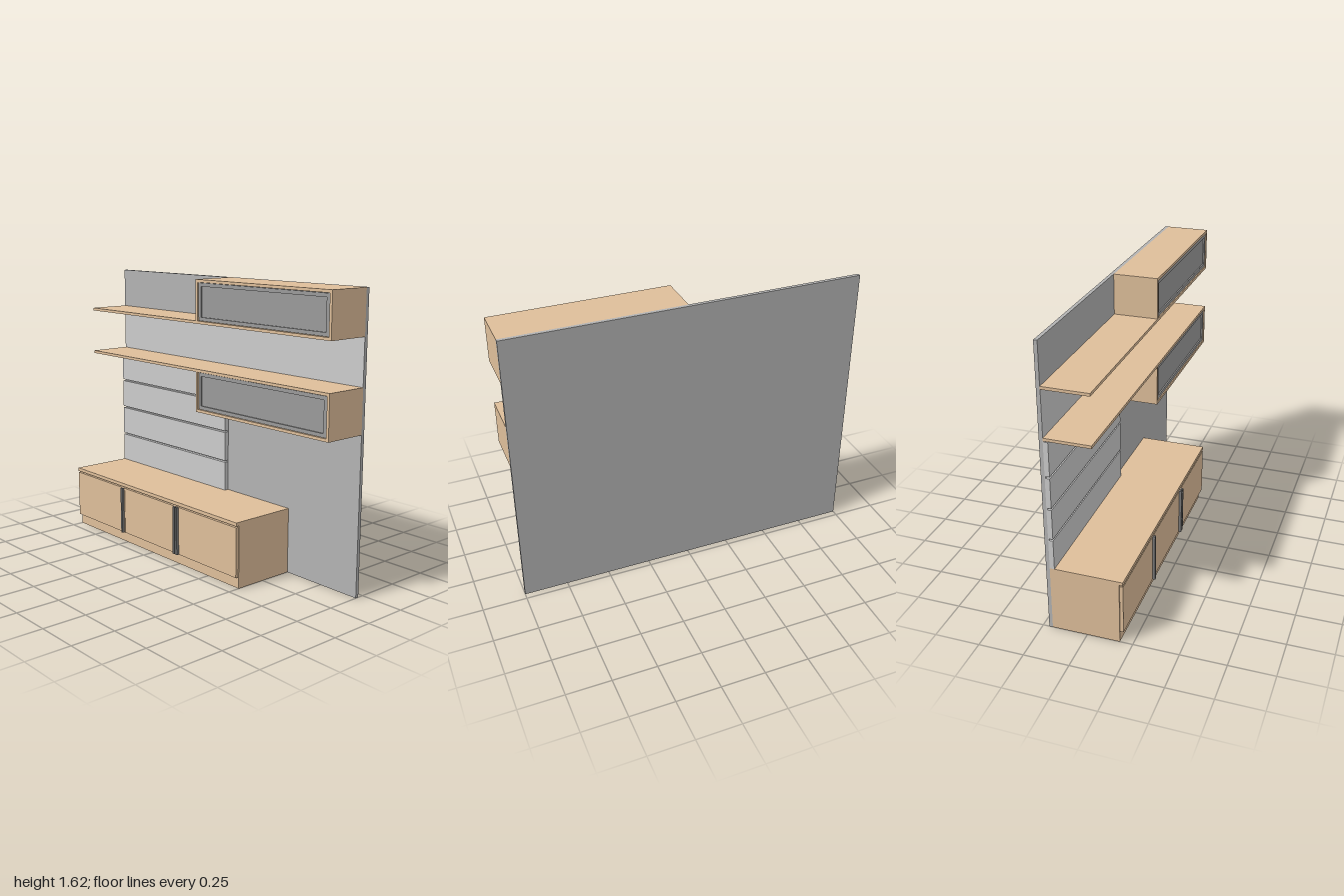
import * as THREE from 'three';

const paint = (color) => new THREE.MeshStandardMaterial({ color });
const wood = paint(0xdebe9a);
const light = paint(0xcccccc);
const board = paint(0xb2b2b2);
const dark = paint(0x9a9a9a);
const metal = paint(0x777777);

// Box given by its limits along each axis.
function box(parent, name, material, [x0, x1], [y0, y1], [z0, z1]) {
  const mesh = new THREE.Mesh(new THREE.BoxGeometry(x1 - x0, y1 - y0, z1 - z0), material);
  mesh.position.set((x0 + x1) / 2, (y0 + y1) / 2, (z0 + z1) / 2);
  mesh.name = name;
  parent.add(mesh);
  return mesh;
}

// Rectangular frame with an open middle, extruded along z.
function frame(parent, name, material, [x0, x1], [y0, y1], [z0, z1], border) {
  const rect = (path, a, b, c, d) =>
    path.moveTo(a, c).lineTo(b, c).lineTo(b, d).lineTo(a, d).closePath();
  const shape = rect(new THREE.Shape(), x0, x1, y0, y1);
  shape.holes.push(rect(new THREE.Path(), x0 + border, x1 - border, y0 + border, y1 - border));
  const mesh = new THREE.Mesh(
    new THREE.ExtrudeGeometry(shape, { depth: z1 - z0, bevelEnabled: false }), material);
  mesh.position.z = z0;
  mesh.name = name;
  parent.add(mesh);
}

// Wall cabinet: wooden carcass, framed door and recessed glass.
function wallCabinet(name, y0, y1) {
  const g = new THREE.Group();
  g.name = name;
  frame(g, 'carcass', wood, [0, 1], [y0, y1], [-0.195, 0.055], 0.016);
  box(g, 'carcassBack', wood, [0.016, 0.984], [y0 + 0.016, y1 - 0.016], [-0.195, -0.18]);
  frame(g, 'doorFrame', dark, [0.02, 0.98], [y0 + 0.018, y1 - 0.018], [0.03, 0.05], 0.02);
  box(g, 'doorGlass', dark, [0.038, 0.962], [y0 + 0.036, y1 - 0.036], [0.034, 0.042]);
  return g;
}

// Low cabinet with plinth, three doors and slim vertical handles.
function lowCabinet() {
  const g = new THREE.Group();
  g.name = 'lowCabinet';
  box(g, 'body', wood, [-1, 0.5], [0, 0.355], [-0.195, 0.18]);
  box(g, 'worktop', wood, [-1, 0.5], [0.355, 0.375], [-0.195, 0.2]);
  for (let i = 0; i < 3; i++) {
    const x = -1 + i * 0.5;
    box(g, 'door', wood, [x + 0.002, x + 0.498], [0.065, 0.347], [0.182, 0.2]);
  }
  for (const x of [-0.514, -0.014, 0.01]) {
    box(g, 'handle', metal, [x - 0.007, x + 0.007], [0.065, 0.347], [0.2, 0.215]);
  }
  return g;
}

export function createModel() {
  const model = new THREE.Group();
  model.name = 'mediaWall';

  // Wall boards
  box(model, 'backBoard', board, [-1, 1], [0, 1.625], [-0.215, -0.195]);
  box(model, 'middlePanel', light, [-1, 1], [1.125, 1.38], [-0.196, -0.194]);
  box(model, 'slatBacking', light, [-1, 0], [0.375, 1.11], [-0.195, -0.19]);

  // Horizontal slats with narrow gaps
  const edges = [0.375, 0.555, 0.735, 0.915, 1.115];
  for (let i = 0; i < 4; i++) {
    box(model, 'slat', light, [-1, 0], [edges[i], edges[i + 1] - 0.01], [-0.19, -0.169]);
  }

  // Shelves and wall cabinets
  box(model, 'upperShelf', wood, [-1, 0], [1.38, 1.396], [-0.195, 0.055]);
  box(model, 'lowerShelf', wood, [-1, 0], [1.109, 1.125], [-0.195, 0.055]);
  model.add(wallCabinet('upperCabinet', 1.38, 1.625));
  model.add(wallCabinet('lowerWallCabinet', 0.88, 1.125));
  model.add(lowCabinet());
  return model;
}
